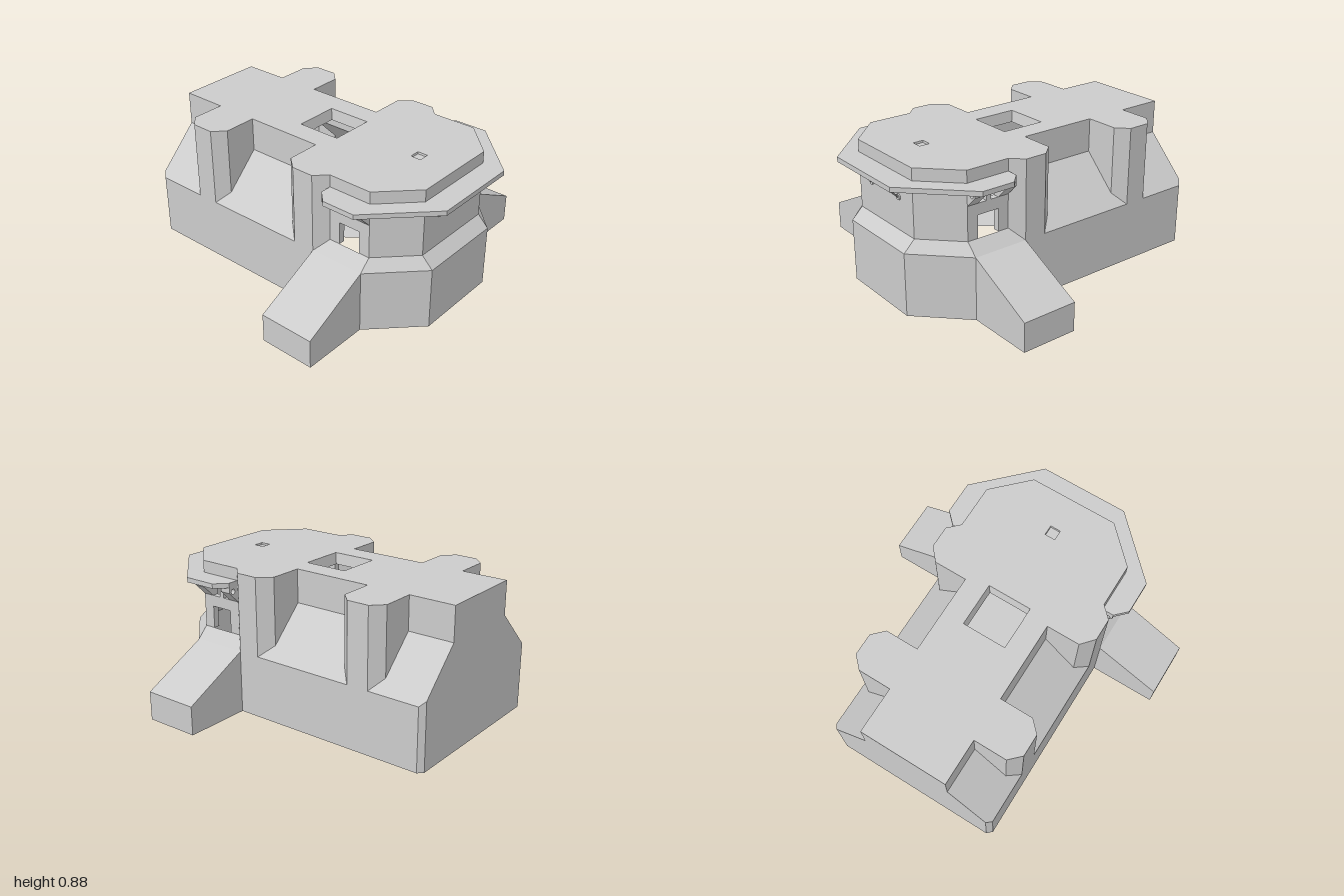
import * as THREE from 'three';

const material = new THREE.MeshStandardMaterial({ color: 0xcccccc, flatShading: true, side: THREE.DoubleSide });
const TOP = 0.88, LEDGE = 0.39;
const bevelY = (x) => LEDGE + 0.56 - x; // 45 degree slope shared by recesses and walls

function add(parent, name, geometry) {
  const mesh = new THREE.Mesh(geometry, material);
  mesh.name = name;
  parent.add(mesh);
  return mesh;
}

const shapeOf = (pts) => new THREE.Shape(pts.map(([x, y]) => new THREE.Vector2(x, y)));
const pathOf = (pts) => new THREE.Path(pts.map(([x, y]) => new THREE.Vector2(x, y)));
const rect = (x0, x1, y0, y1) => [[x0, y0], [x1, y0], [x1, y1], [x0, y1]];
const flip = (pts) => pts.map(([x, z]) => [x, -z]);
const mirrored = (half) => [...half, ...half.slice().reverse().map(([x, z]) => [-x, z])];

// horizontal sheet drawn in plan (x, z); its height follows a rule
function sheet(pts, height, holes = []) {
  const shape = shapeOf(flip(pts));
  shape.holes = holes.map((h) => pathOf(flip(h)));
  const g = new THREE.ShapeGeometry(shape).rotateX(-Math.PI / 2);
  const p = g.attributes.position;
  for (let i = 0; i < p.count; i++) p.setY(i, height(p.getX(i), p.getZ(i)));
  g.computeVertexNormals();
  return g;
}

// strip of flat panels between two matching rows of 3D points
function strip(low, high) {
  const v = [];
  for (let i = 0; i < low.length - 1; i++) {
    v.push(...low[i], ...low[i + 1], ...high[i + 1], ...low[i], ...high[i + 1], ...high[i]);
  }
  const g = new THREE.BufferGeometry();
  g.setAttribute('position', new THREE.Float32BufferAttribute(v, 3));
  g.computeVertexNormals();
  return g;
}

const row = (pts, height) => pts.map(([x, z]) => [x, typeof height === 'function' ? height(x) : height, z]);

// four tapering sides of an opening sunk into the roof
function funnel(r0, r1, z, depth) {
  const ring = (r, y) => [[r, r], [r, -r], [-r, -r], [-r, r], [r, r]].map(([a, b]) => [a, y, z + b]);
  return strip(ring(r1, TOP - depth), ring(r0, TOP));
}

export function createModel() {
  const model = new THREE.Group();
  const half = new THREE.Group();
  half.name = 'leftHalf';

  // plan outline of the upper walls, back to front
  const flank = [
    [0.28, -1], [0.28, -0.71], [0.49, -0.71], [0.56, -0.64], [0.56, -0.5], [0.49, -0.43], [0.28, -0.43],
    [0.28, 0.08], [0.49, 0.08], [0.56, 0.16], [0.56, 0.3], [0.49, 0.37],
  ];
  const upperFront = [[0.49, 0.65], [0.28, 0.86], [0, 0.86]];
  add(half, 'buttressWalls', strip(row(flank, bevelY), row(flank, TOP)));
  add(half, 'upperFrontWall', strip(row(upperFront, 0.46), row(upperFront, TOP)));

  // lower walls, left open where the wing joins
  const lowerSide = [[0.56, -0.97], [0.56, 0.3]];
  const lowerFront = [[0.56, 0.65], [0.28, 0.93], [0, 0.93]];
  add(half, 'lowerSideWall', strip(row(lowerSide, 0), row(lowerSide, LEDGE)));
  add(half, 'lowerFrontWall', strip(row(lowerFront, 0), row(lowerFront, LEDGE)));
  add(half, 'frontBevel', strip(
    row([[0.56, 0.3], ...lowerFront], LEDGE), row([[0.49, 0.37], ...upperFront], 0.46)));

  // back wall with its chamfered corner
  add(half, 'backWall', new THREE.ShapeGeometry(shapeOf(
    [[0, 0], [0.53, 0], [0.53, 0.42], [0.28, 0.67], [0.28, TOP], [0, TOP]])).translate(0, 0, -1));
  const corner = [[0.53, -1], [0.56, -0.97]];
  add(half, 'backCorner', strip(row(corner, 0), row(corner, bevelY)));

  // sloping floors of the two side recesses
  add(half, 'rearRecess', sheet(
    [[0.53, -1], [0.28, -1], [0.28, -0.71], [0.49, -0.71], [0.56, -0.64], [0.56, -0.97]], bevelY));
  add(half, 'middleRecess', sheet(
    [[0.56, -0.5], [0.49, -0.43], [0.28, -0.43], [0.28, 0.08], [0.49, 0.08], [0.56, 0.16]], bevelY));

  // side wall with a low opening and a divided window
  const windowWall = shapeOf([[0.37, 0.46], [0.44, 0.46], [0.44, 0.6], [0.58, 0.6], [0.58, 0.46],
    [0.65, 0.46], [0.65, TOP], [0.37, TOP]]);
  windowWall.holes = [rect(0.44, 0.49, 0.67, 0.77), rect(0.52, 0.58, 0.67, 0.77)].map(pathOf);
  add(half, 'windowWall', new THREE.ExtrudeGeometry(windowWall, { depth: 0.04, bevelEnabled: false })
    .rotateY(-Math.PI / 2).translate(0.49, 0, 0));

  // side wing, open underneath
  const wing = (z) => [[0.56, 0, z], [0.98, 0, z], [0.98, 0.18, z], [0.56, LEDGE, z]];
  const [a, b] = [wing(0.3), wing(0.65)];
  add(half, 'wingTop', strip(a.slice(1), b.slice(1)));
  for (const s of [a, b]) add(half, 'wingSide', strip([s[0], s[1]], [s[3], s[2]]));

  // brackets under the canopy, each with a round hole
  for (const z of [0.37, 0.58]) {
    const bracket = shapeOf([[0.49, 0.67], [0.56, 0.74], [0.56, 0.775], [0.49, 0.775]]);
    bracket.holes.push(new THREE.Path().absarc(0.53, 0.745, 0.016, 0, Math.PI * 2, true));
    add(half, 'bracket', new THREE.ExtrudeGeometry(bracket, { depth: 0.07, bevelEnabled: false, curveSegments: 6 })
      .translate(0, 0, z));
  }

  // slanted stay from the front wall to the canopy edge
  const stay = new THREE.LineCurve3(new THREE.Vector3(0.14, 0.66, 0.86), new THREE.Vector3(0.14, 0.775, 0.98));
  add(half, 'stay', new THREE.TubeGeometry(stay, 1, 0.005, 8));
  add(half, 'stayPlate', new THREE.CylinderGeometry(0.018, 0.018, 0.01, 12)
    .rotateX(Math.PI / 2).translate(0.14, 0.665, 0.864));
  add(half, 'stayFoot', new THREE.BoxGeometry(0.03, 0.008, 0.02).translate(0.14, 0.771, 0.975));

  const other = half.clone();
  other.name = 'rightHalf';
  other.scale.x = -1;
  model.add(half, other);

  // roof with a large hatch and a small sunken panel
  const square = (r, z) => rect(-r, r, z - r, z + r);
  add(model, 'roof', sheet(mirrored([...flank, [0.49, 0.65], [0.28, 0.86]]), () => TOP,
    [square(0.14, -0.02), square(0.033, 0.61)]));
  add(model, 'hatchSides', funnel(0.14, 0.128, -0.02, 0.07));
  add(model, 'panelSides', funnel(0.033, 0.031, 0.61, 0.012));
  add(model, 'panel', sheet(square(0.031, 0.61), () => TOP - 0.012));

  // canopy wrapping the front
  const outer = [[0.49, 0.37], [0.56, 0.37], [0.63, 0.44], [0.63, 0.65], [0.28, 1]];
  const inner = [[0.28, 0.86], [0.49, 0.65]];
  const canopy = [...mirrored(outer), ...inner.slice().reverse().map(([x, z]) => [-x, z]), ...inner];
  add(model, 'canopy', new THREE.ExtrudeGeometry(shapeOf(flip(canopy)), { depth: 0.03, bevelEnabled: false })
    .rotateX(-Math.PI / 2).translate(0, 0.775, 0));

  // floor of the upper room
  add(model, 'roomFloor', sheet(mirrored([[0.28, -0.2], [0.28, 0.1], [0.42, 0.16], [0.42, 0.42], [0.28, 0.6]]),
    () => 0.46));
  return model;
}
